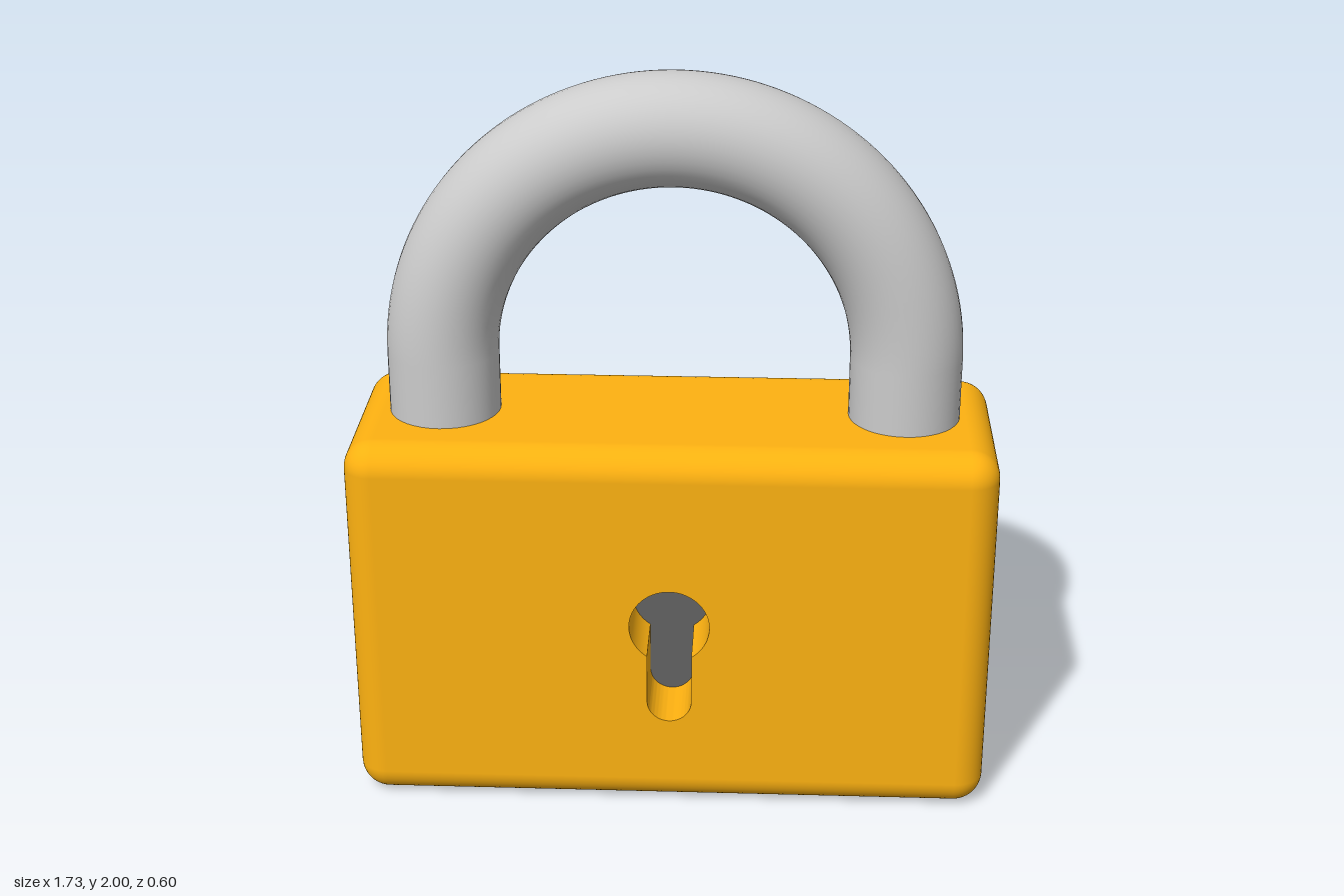
import * as THREE from 'three';
import { RoundedBoxGeometry } from 'three/addons/geometries/RoundedBoxGeometry.js';
import { toCreasedNormals } from 'three/addons/utils/BufferGeometryUtils.js';

const W = 1.73, H = 1.06, D = 0.6, R = 0.08; // body size and edge radius
const RECESS = 0.18;                         // keyhole depth
const BAR = 0.15, ARCH = 0.62, ARCH_Y = 1.23; // shackle

const bodyMat = new THREE.MeshStandardMaterial({ color: 0xfeb211 });
const darkMat = new THREE.MeshStandardMaterial({ color: 0x626262 });
const steelMat = new THREE.MeshStandardMaterial({ color: 0xcccccc });

function add(parent, name, geometry, material, x = 0, y = 0, z = 0) {
  const mesh = new THREE.Mesh(geometry, material);
  mesh.name = name;
  mesh.position.set(x, y, z);
  parent.add(mesh);
  return mesh;
}

// Round hole with a round-ended slot below, traced counterclockwise
function traceKeyhole(path) {
  const r = 0.108, slot = 0.06, cy = 0.555, slotY = 0.325;
  const a = Math.asin(slot / r);
  path.absarc(0, cy, r, -Math.PI / 2 + a, Math.PI * 1.5 - a, false);
  path.absarc(0, slotY, slot, Math.PI, Math.PI * 2, false);
  path.closePath();
  return path;
}

// Rounded box without its flat front panel
function bodyShell() {
  const box = new RoundedBoxGeometry(W, H, D, 6, R);
  const geometry = box.index ? box.toNonIndexed() : box;
  const p = geometry.attributes.position, n = geometry.attributes.normal;
  const positions = [], normals = [];
  for (let i = 0; i < p.count; i += 3) {
    if ([0, 1, 2].every(k => p.getZ(i + k) > D / 2 - 1e-5)) continue;
    for (let k = i; k < i + 3; k++) {
      positions.push(p.getX(k), p.getY(k), p.getZ(k));
      normals.push(n.getX(k), n.getY(k), n.getZ(k));
    }
  }
  const shell = new THREE.BufferGeometry();
  shell.setAttribute('position', new THREE.Float32BufferAttribute(positions, 3));
  shell.setAttribute('normal', new THREE.Float32BufferAttribute(normals, 3));
  return shell;
}

// Flat front panel pierced by the keyhole
function frontPanel() {
  const x = W / 2 - R, y0 = R, y1 = H - R;
  const shape = new THREE.Shape();
  shape.moveTo(-x, y0).lineTo(x, y0).lineTo(x, y1).lineTo(-x, y1).closePath();
  shape.holes.push(traceKeyhole(new THREE.Path()));
  return new THREE.ShapeGeometry(shape, 24);
}

// Inward-facing walls of the keyhole recess
function keyholeWalls() {
  const pts = traceKeyhole(new THREE.Path()).getPoints(24);
  const positions = [];
  for (let i = 0; i < pts.length; i++) {
    const a = pts[i], b = pts[(i + 1) % pts.length];
    if (a.distanceTo(b) < 1e-6) continue;
    positions.push(a.x, a.y, 0, b.x, b.y, 0, a.x, a.y, -RECESS);
    positions.push(b.x, b.y, 0, b.x, b.y, -RECESS, a.x, a.y, -RECESS);
  }
  const walls = new THREE.BufferGeometry();
  walls.setAttribute('position', new THREE.Float32BufferAttribute(positions, 3));
  return toCreasedNormals(walls, Math.PI / 6);
}

export function createModel() {
  const model = new THREE.Group();
  model.name = 'padlock';

  // Body with keyhole
  const body = new THREE.Group();
  body.name = 'body';
  add(body, 'bodyShell', bodyShell(), bodyMat, 0, H / 2, 0);
  add(body, 'frontPanel', frontPanel(), bodyMat, 0, 0, D / 2);
  add(body, 'keyholeWalls', keyholeWalls(), bodyMat, 0, 0, D / 2);
  const floor = new THREE.ShapeGeometry(traceKeyhole(new THREE.Shape()), 24);
  add(body, 'keyholeFloor', floor, darkMat, 0, 0, D / 2 - RECESS);
  model.add(body);

  // Shackle: half-ring arch on two straight legs
  const shackle = new THREE.Group();
  shackle.name = 'shackle';
  add(shackle, 'arch', new THREE.TorusGeometry(ARCH, BAR, 40, 80, Math.PI), steelMat, 0, ARCH_Y, 0);
  const legBottom = H - 0.03;
  const leg = new THREE.CylinderGeometry(BAR, BAR, ARCH_Y - legBottom, 40, 1, true);
  for (const [name, side] of [['leftLeg', 1], ['rightLeg', -1]]) {
    add(shackle, name, leg, steelMat, side * ARCH, (ARCH_Y + legBottom) / 2, 0);
  }
  model.add(shackle);

  return model;
}
